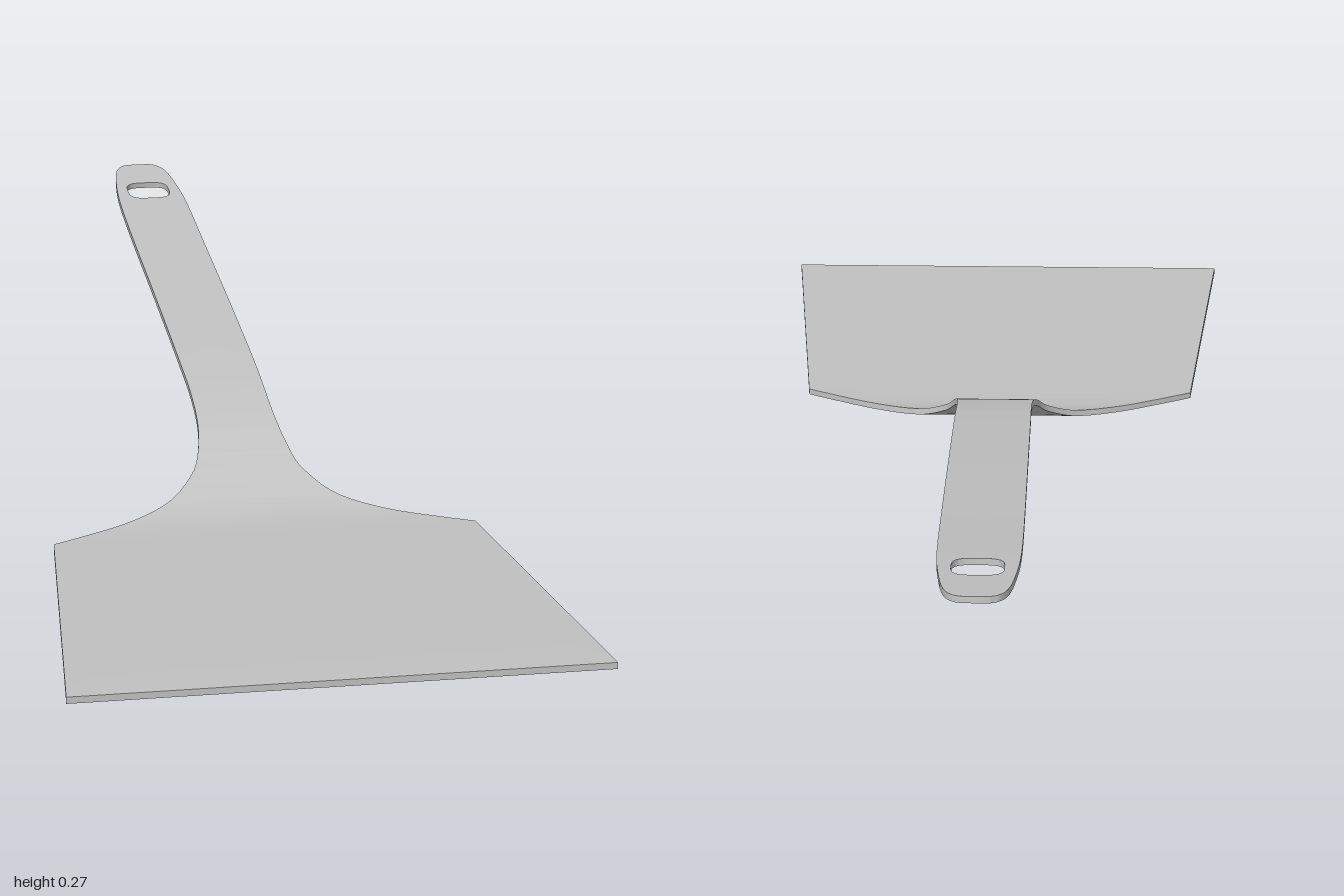
import * as THREE from 'three';
import { toCreasedNormals } from 'three/addons/utils/BufferGeometryUtils.js';

// Smooth curve through [z, value] pairs, evaluated at z
function curve(points) {
  const slope = (i) => {
    const a = points[Math.max(i - 1, 0)], b = points[Math.min(i + 1, points.length - 1)];
    return (b[1] - a[1]) / (b[0] - a[0]);
  };
  return (z) => {
    let i = 0;
    while (i < points.length - 2 && z > points[i + 1][0]) i++;
    const [z0, v0] = points[i], [z1, v1] = points[i + 1];
    const d = z1 - z0, t = (z - z0) / d, t2 = t * t, t3 = t2 * t;
    return (2 * t3 - 3 * t2 + 1) * v0 + (t3 - 2 * t2 + t) * d * slope(i)
      + (3 * t2 - 2 * t3) * v1 + (t3 - t2) * d * slope(i + 1);
  };
}

const SHOULDER = 0.375, HALF_THICK = 0.005;
const HOLE = { z: -0.867, length: 0.038, width: 0.038 };

// Mid-surface height along the length
const height = curve([[-1, 0.26], [-0.8, 0.235], [-0.6, 0.209], [-0.4, 0.185], [-0.2, 0.159], [-0.08, 0.142],
  [0, 0.128], [0.1, 0.101], [0.15, 0.08], [0.2, 0.049], [0.25, 0.021], [0.3, 0.008], [0.35, 0.005], [0.4, 0.005], [1, 0.005]]);

// Half width of handle and neck; the blade beyond the shoulder has straight sides
const neckWidth = curve([[-1, 0.02], [-0.995, 0.03], [-0.98, 0.041], [-0.95, 0.049], [-0.9, 0.055], [-0.85, 0.059],
  [-0.8, 0.061], [-0.7, 0.062], [-0.1, 0.062], [0.05, 0.062], [0.12, 0.066], [0.17, 0.076], [0.2, 0.09],
  [0.25, 0.135], [0.3, 0.205], [SHOULDER, 0.333]]);
const halfWidth = (z) => z <= SHOULDER ? neckWidth(z)
  : 0.333 + (0.393 - 0.333) * (z - SHOULDER) / (1 - SHOULDER);

// Half width of the rounded hanging hole
function holeWidth(z) {
  const t = Math.abs(z - HOLE.z) / HOLE.length;
  return t > 0.99999 ? 0 : HOLE.width * Math.pow(1 - Math.pow(t, 3.5), 1 / 3.5);
}

function stations() {
  const zs = [-1, -0.9985, -0.997, -0.995, -0.991, -0.986, -0.98, -0.97, -0.96, -0.95, -0.935, -0.92];
  for (let i = 0; i <= 28; i++) zs.push(HOLE.z - HOLE.length * Math.cos(Math.PI * i / 28));
  for (let z = -0.8; z < -0.15; z += 0.05) zs.push(z);
  for (let z = -0.12; z < SHOULDER - 0.005; z += 0.0125) zs.push(z);
  zs.push(SHOULDER, 0.4, 1);
  return zs;
}

function spatulaGeometry() {
  const pos = [];
  const quad = (a, b, c, d, flip) => {
    for (const p of flip ? [a, c, b, a, d, c] : [a, b, c, a, c, d]) pos.push(...p);
  };

  // Cross-sections: inner and outer points on the top and bottom skins
  const sections = stations().map((z) => {
    const e = 0.002;
    const za = Math.max(z - e, -1), zb = Math.min(z + e, 1);
    const dy = (height(zb) - height(za)) / (zb - za);
    const n = HALF_THICK / Math.hypot(1, dy);
    const hole = holeWidth(z), w = halfWidth(z);
    const at = (x, k) => [x, height(z) + k * n, z - k * dy * n];
    const side = (s) => ({ inTop: at(s * hole, 1), inBot: at(s * hole, -1), outTop: at(s * w, 1), outBot: at(s * w, -1) });
    return { hole, '1': side(1), '-1': side(-1) };
  });

  for (const s of [1, -1]) {
    const flip = s < 0;
    for (let i = 0; i < sections.length - 1; i++) {
      const a = sections[i][s], b = sections[i + 1][s];
      quad(a.inTop, b.inTop, b.outTop, a.outTop, flip);
      quad(a.inBot, b.inBot, b.outBot, a.outBot, !flip);
      quad(a.outBot, a.outTop, b.outTop, b.outBot, flip);
      // wall of the hanging hole
      if (sections[i].hole + sections[i + 1].hole > 0) quad(a.inBot, a.inTop, b.inTop, b.inBot, !flip);
    }
    // end faces at the handle tip and blade edge
    const tip = sections[0][s], edge = sections[sections.length - 1][s];
    quad(tip.inBot, tip.outBot, tip.outTop, tip.inTop, !flip);
    quad(edge.inBot, edge.outBot, edge.outTop, edge.inTop, flip);
  }

  const geometry = new THREE.BufferGeometry();
  geometry.setAttribute('position', new THREE.Float32BufferAttribute(pos, 3));
  return toCreasedNormals(geometry, 0.6);
}

export function createModel() {
  const steel = new THREE.MeshStandardMaterial({ color: 0xc0c0c0 });
  steel.name = 'brushed steel';

  // One continuous bent sheet: blade, neck and handle
  const spatula = new THREE.Mesh(spatulaGeometry(), steel);
  spatula.name = 'spatulaBladeAndHandle';

  const group = new THREE.Group();
  group.name = 'spatula';
  group.add(spatula);
  return group;
}
